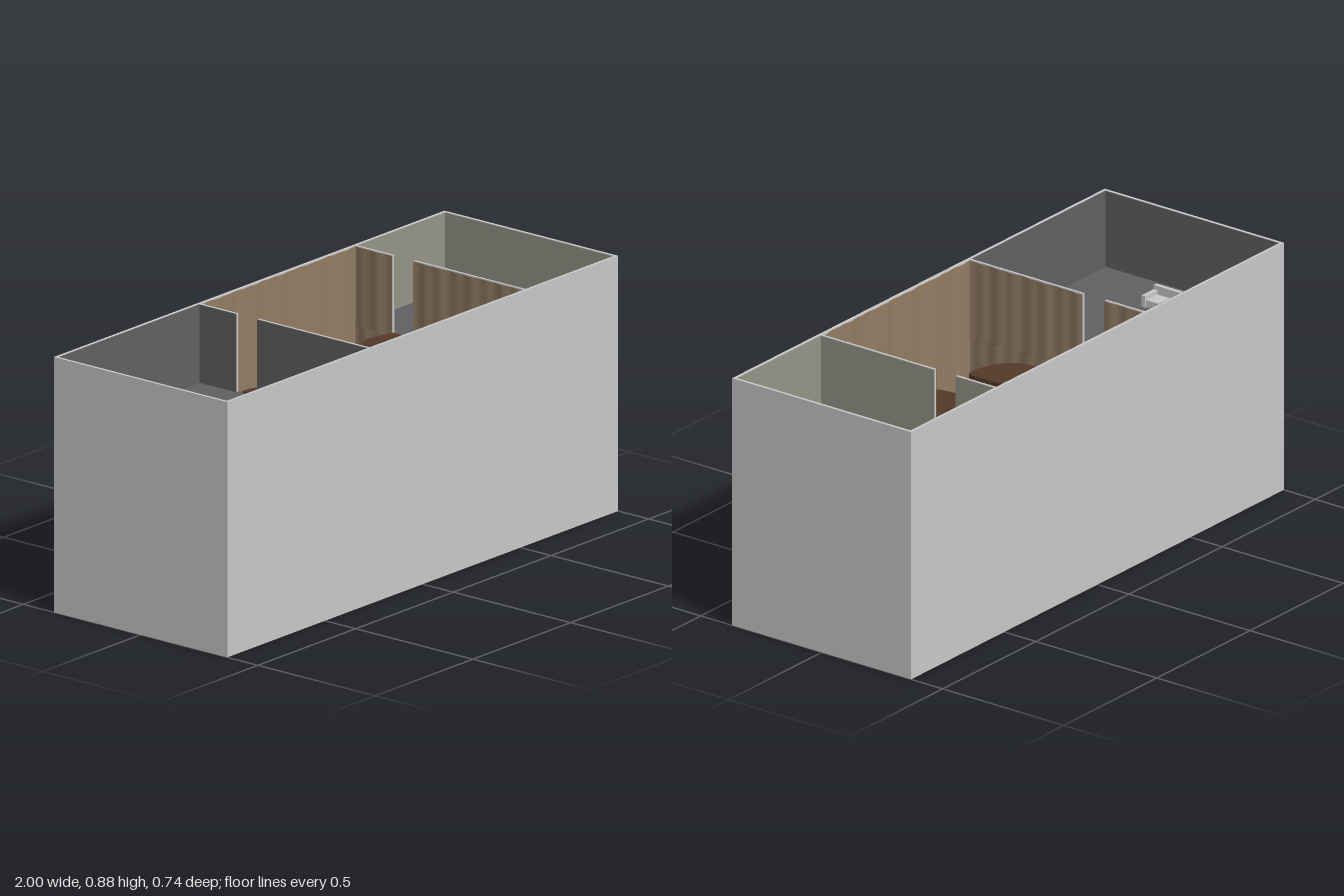
import * as THREE from 'three';

const mat = (name, color, extra = {}) => {
  const m = new THREE.MeshStandardMaterial({ color, ...extra });
  m.name = name;
  return m;
};

export function createModel() {
  const light = mat('pale shell', 0xc9c9c9);
  const gray = mat('dark gray', 0x616163);
  const stone = mat('pale stone', 0x959588);
  const cloth = mat('brown curtain', 0x937d64, { flatShading: true, side: THREE.DoubleSide });
  const earth = mat('brown path', 0x543a2a);
  const blue = mat('blue water', 0x0e3468);
  const rock = mat('gray rock', 0x68686b, { flatShading: true, side: THREE.DoubleSide });

  const model = new THREE.Group();
  const add = (name, geo, m, parent = model) => {
    const mesh = new THREE.Mesh(geo, m);
    mesh.name = name;
    parent.add(mesh);
    return mesh;
  };
  // Box given by its limits on each axis
  const box = (name, m, x0, x1, y0, y1, z0, z1, parent) => {
    const g = new THREE.BoxGeometry(x1 - x0, y1 - y0, z1 - z0);
    g.translate((x0 + x1) / 2, (y0 + y1) / 2, (z0 + z1) / 2);
    return add(name, g, m, parent);
  };

  const H = 0.88, D = 0.37, T = 0.01, FLOOR = 0.61, WATER = 0.1;
  const XL = -0.26, XR = 0.53, DOOR0 = -0.2, DOOR1 = -0.11;

  // Outer shell
  box('base', light, -1, 1, 0, 0.03, -D, D);
  for (const s of [-1, 1]) {
    box('longWall', light, -1, 1, 0.03, H, s > 0 ? D - T : -D, s > 0 ? D : -D + T);
    box('endWall', light, s > 0 ? 1 - T : -1, s > 0 ? 1 : -1 + T, 0.03, H, -D + T, D - T);
  }

  // End rooms: raised floor, wall linings and a divider with a doorway
  const room = (name, xEnd, xDiv, lining) => {
    const g = new THREE.Group();
    g.name = name;
    model.add(g);
    const s = Math.sign(xEnd), P = 0.003, top = H - 0.001;
    const span = (a, b) => [Math.min(a, b), Math.max(a, b)];
    const inner = xEnd - s * T;
    box('roomFloor', gray, ...span(inner, xDiv), 0.03, FLOOR, -D + T, D - T, g);
    box('endLining', lining, ...span(inner, inner - s * P), FLOOR, top, -D + T, D - T, g);
    for (const k of [-1, 1]) {
      box('sideLining', lining, ...span(inner, xDiv), FLOOR, top, ...span(k * (D - T), k * (D - T - P)), g);
    }
    for (const [z0, z1] of [[-D + T, DOOR0], [DOOR1, D - T]]) {
      box('divider', light, ...span(xDiv, xDiv + s * 0.008), FLOOR, H, z0, z1, g);
      box('dividerLining', lining, ...span(xDiv + s * 0.008, xDiv + s * 0.011), FLOOR, top, z0, z1, g);
    }
  };
  room('leftwardRoom', 1, XR, stone);
  room('rightwardRoom', -1, XL, gray);

  // Softly folded curtain running from one plan point to another
  const curtain = (ax, az, bx, bz, y0, y1) => {
    const len = Math.hypot(bx - ax, bz - az), n = Math.max(6, Math.round(len / 0.012));
    const g = new THREE.PlaneGeometry(len, y1 - y0, n, 1), p = g.attributes.position;
    for (let i = 0; i < p.count; i++) {
      const u = p.getX(i);
      p.setZ(i, 0.0015 * Math.sin(u * 95) + 0.0015 * Math.sin(u * 41 + 1));
    }
    g.rotateY(-Math.atan2(bz - az, bx - ax));
    g.translate((ax + bx) / 2, (y0 + y1) / 2, (az + bz) / 2);
    add('curtain', g, cloth);
  };
  const E = D - T - 0.004, top = H - 0.002;
  for (const s of [-1, 1]) curtain(XL, s * E, XR, s * E, 0.03, top);
  for (const x of [XL + 0.004, XR - 0.004]) {
    curtain(x, -E, x, E, 0.03, FLOOR - 0.005);
    curtain(x, -E, x, DOOR0, FLOOR - 0.005, top);
    curtain(x, DOOR1, x, E, FLOOR - 0.005, top);
  }

  // Water
  box('water', blue, XL, XR, 0.03, WATER, -D + T, D - T);

  // Jagged rocks rising towards the long walls
  const hash = (i, j) => {
    const v = Math.sin(i * 127.1 + j * 311.7) * 43758.5453;
    return v - Math.floor(v);
  };
  const clamp = THREE.MathUtils.clamp;
  const NX = 24, NZ = 22;
  const rocks = new THREE.PlaneGeometry(XR - XL - 0.01, 2 * E, NX, NZ);
  rocks.rotateX(-Math.PI / 2);
  rocks.translate((XL + XR) / 2, 0, 0);
  const rp = rocks.attributes.position;
  for (let k = 0; k < rp.count; k++) {
    const i = k % (NX + 1), j = Math.floor(k / (NX + 1));
    const x = rp.getX(k), z = rp.getZ(k);
    const backShore = -0.02 - clamp((x + 0.26) * 0.35, 0, 0.1);
    const frontShore = Math.max(0.13 + clamp((x - 0.38) * 0.7, 0, 0.1), 0.37 - (x + 0.1) * 1.5);
    const rise = Math.max(backShore - z, z - frontShore);
    const n = hash(i, j) - 0.5;
    rp.setY(k, clamp(WATER + rise * 1.25 + (rise > -0.02 ? n * 0.09 : -0.04), 0.04, 0.5));
    if (i > 0 && i < NX) rp.setX(k, x + (hash(j, i + 40) - 0.5) * 0.02);
  }
  rocks.computeVertexNormals();
  add('rocks', rocks, rock);

  // Flat outlines in plan, pulled up between two heights
  const v = ([x, z]) => new THREE.Vector2(x, -z);
  const raise = (name, shape, y0, y1, m) => {
    const g = new THREE.ExtrudeGeometry(shape, { depth: y1 - y0, bevelEnabled: false, curveSegments: 4 });
    g.rotateX(-Math.PI / 2);
    g.translate(0, y0, 0);
    add(name, g, m);
  };

  // Pale plateau in the back corner with a tongue into the bend
  raise('plateau', new THREE.Shape([
    [0.385, -0.355], [0.522, -0.355], [0.522, -0.16], [0.38, -0.12], [0.34, 0.06],
    [0.24, 0.06], [0.22, -0.17], [0.31, -0.175], [0.32, -0.26],
  ].map(v)), 0.04, 0.51, stone);

  // Winding path between the two doorways
  const backEdge = [
    [-0.26, -0.185], [-0.2, -0.175], [-0.165, -0.115], [-0.13, -0.06], [-0.09, -0.05], [-0.055, -0.09],
    [-0.025, -0.19], [0.01, -0.245], [0.07, -0.267], [0.135, -0.24], [0.19, -0.175], [0.23, -0.06],
    [0.265, 0.03], [0.3, 0.03], [0.318, -0.1], [0.365, -0.19], [0.43, -0.22], [0.53, -0.2],
  ].map(v);
  const frontEdge = [
    [0.53, -0.11], [0.47, -0.095], [0.42, -0.05], [0.4, 0.03], [0.412, 0.16], [0.385, 0.21],
    [0.3, 0.24], [0.2, 0.21], [0.162, 0.135], [0.15, 0], [0.12, -0.13], [0.08, -0.16], [0.035, -0.135],
    [0.003, -0.03], [0.008, 0.13], [-0.015, 0.165], [-0.1, 0.145], [-0.165, 0.09], [-0.185, 0],
    [-0.215, -0.08], [-0.26, -0.115],
  ].map(v);
  const path = new THREE.Shape();
  path.moveTo(backEdge[0].x, backEdge[0].y);
  path.splineThru(backEdge.slice(1));
  path.lineTo(frontEdge[0].x, frontEdge[0].y);
  path.splineThru(frontEdge.slice(1));
  raise('path', path, 0.04, FLOOR + 0.004, earth);

  // Small sofa facing the doorway
  const sofa = new THREE.Group();
  sofa.name = 'sofa';
  model.add(sofa);
  box('seat', light, -0.875, -0.8, FLOOR, FLOOR + 0.025, -0.06, 0.06, sofa);
  box('backrest', light, -0.875, -0.86, FLOOR, FLOOR + 0.055, -0.06, 0.06, sofa);
  for (const s of [-1, 1]) {
    box('armrest', light, -0.86, -0.795, FLOOR, FLOOR + 0.04, s > 0 ? 0.045 : -0.06, s > 0 ? 0.06 : -0.045, sofa);
  }
  return model;
}
